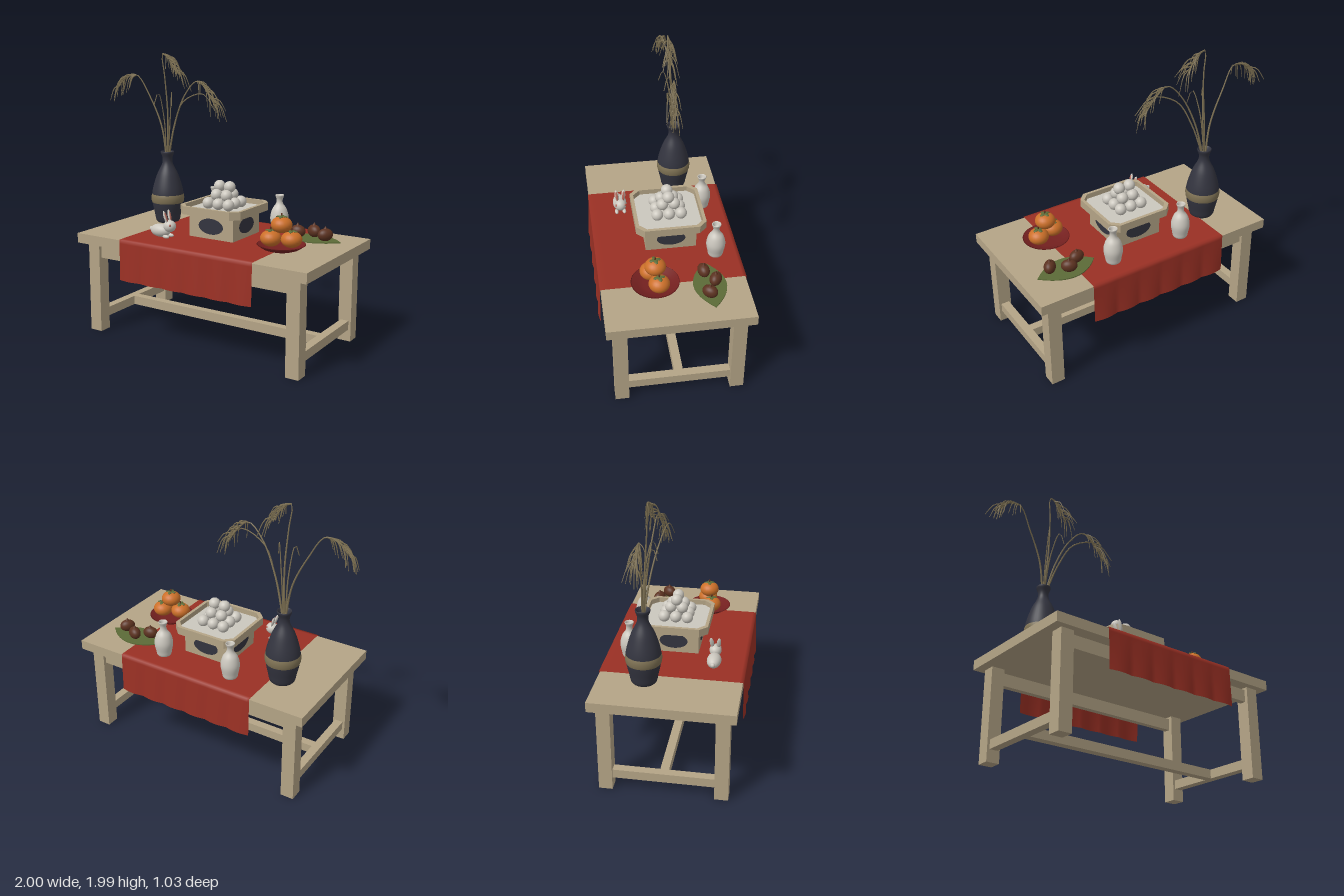
import * as THREE from 'three';

const mat = (name, color, side = THREE.FrontSide) => Object.assign(new THREE.MeshStandardMaterial({ color, side }), { name });
const V = (x, y, z) => new THREE.Vector3(x, y, z);

export function createModel() {
  const wood = mat('wood', 0xb4a486), red = mat('red cloth', 0x9a3024, THREE.DoubleSide);
  const navy = mat('dark glaze', 0x33343f), white = mat('white', 0xcbc7be);
  const orange = mat('persimmon orange', 0xcc7029), lacquer = mat('dark red lacquer', 0x74201f, THREE.DoubleSide);
  const green = mat('leaf green', 0x5c6b37), brown = mat('chestnut brown', 0x5c3220);
  const straw = mat('straw', 0x7f7254), pink = mat('pink', 0xb4685a);

  const model = new THREE.Group();
  const group = (name, x = 0, y = 0, z = 0, parent = model) => {
    const g = new THREE.Group();
    g.name = name;
    g.position.set(x, y, z);
    parent.add(g);
    return g;
  };
  const add = (parent, name, geo, material, x = 0, y = 0, z = 0) => {
    const m = new THREE.Mesh(geo, material);
    m.name = name;
    m.position.set(x, y, z);
    parent.add(m);
    return m;
  };
  const box = (parent, name, x0, x1, y0, y1, z0, z1, material = wood) => add(parent, name,
    new THREE.BoxGeometry(x1 - x0, y1 - y0, z1 - z0), material, (x0 + x1) / 2, (y0 + y1) / 2, (z0 + z1) / 2);
  const ball = (parent, name, material, x, y, z, rx, ry = rx, rz = rx) => {
    const m = add(parent, name, new THREE.SphereGeometry(1, 24, 16), material, x, y, z);
    m.scale.set(rx, ry, rz);
    return m;
  };
  // Smooth lathe through a few [radius, height] points
  const turned = (points, steps = 28) => {
    const curve = new THREE.SplineCurve(points.map(p => new THREE.Vector2(...p)));
    const pts = curve.getPoints(steps).map(p => new THREE.Vector2(Math.max(p.x, 0), p.y));
    return new THREE.LatheGeometry(pts, 36);
  };

  // Table
  const table = group('table');
  box(table, 'tableTop', -0.85, 0.98, 0.655, 0.725, -0.49, 0.49);
  for (const s of [-1, 1]) {
    const z0 = s < 0 ? -0.445 : 0.35;
    box(table, 'leg', -0.785, -0.69, 0, 0.655, z0, z0 + 0.095);
    box(table, 'leg', 0.82, 0.915, 0, 0.655, z0, z0 + 0.095);
    box(table, 'apron', -0.69, 0.82, 0.55, 0.64, s * 0.4 - 0.022, s * 0.4 + 0.022);
    const x = s < 0 ? -0.737 : 0.867;
    box(table, 'sideStretcher', x - 0.03, x + 0.03, 0.085, 0.15, -0.35, 0.35);
  }
  box(table, 'longStretcher', -0.708, 0.838, 0.085, 0.15, -0.03, 0.03);

  // Runner: a sheet folded over both long edges, rippling towards its hems
  const half = 0.785, flat = 0.495;
  const runner = new THREE.PlaneGeometry(1.06, half * 2, 60, 60).rotateX(-Math.PI / 2);
  const rp = runner.attributes.position;
  for (let i = 0; i < rp.count; i++) {
    const x = rp.getX(i), s = rp.getZ(i), drop = Math.max(0, Math.abs(s) - flat);
    if (drop > 0) {
      const t = drop / (half - flat);
      const ripple = Math.abs(Math.sin((x + 0.53) / 1.06 * Math.PI * 6));
      rp.setXYZ(i, x, 0.733 - drop, Math.sign(s) * (flat + t * (0.006 + 0.012 * ripple)));
    } else rp.setY(i, 0.733);
  }
  runner.computeVertexNormals();
  add(model, 'runner', runner, red, 0.07, 0, 0);

  // Vase with band
  const vase = group('vase', -0.524, 0.725, -0.167);
  add(vase, 'vaseBody', turned([[0, 0.002], [0.078, 0], [0.1, 0.07], [0.119, 0.17], [0.113, 0.25], [0.08, 0.36],
    [0.042, 0.44], [0.037, 0.485], [0.05, 0.525], [0.046, 0.535], [0.03, 0.5], [0.026, 0.44], [0, 0.43]], 60), navy);
  add(vase, 'vaseBand', turned([[0.119, 0.152], [0.123, 0.17], [0.123, 0.2], [0.113, 0.232]], 8), straw);

  // Tapering curved stalk
  const stalk = (parent, name, points, r0, r1, segs = 6, sides = 4) => {
    const curve = new THREE.CatmullRomCurve3(points);
    const geo = new THREE.TubeGeometry(curve, segs, 1, sides);
    const p = geo.attributes.position, v = V(0, 0, 0);
    for (let i = 0; i < p.count; i++) {
      const t = Math.floor(i / (sides + 1)) / segs, c = curve.getPointAt(t);
      v.fromBufferAttribute(p, i).sub(c).multiplyScalar(r0 + (r1 - r0) * t).add(c);
      p.setXYZ(i, v.x, v.y, v.z);
    }
    add(parent, name, geo, straw);
    return curve;
  };
  let seed = 7;
  const rnd = () => (seed = (seed * 16807) % 2147483647) / 2147483647;

  // Grass plumes: an arching stem, then drooping strands along its tip
  const grass = group('grass');
  const plume = (pts, dir) => {
    const c = stalk(grass, 'stem', pts.map(p => V(...p)), 0.008, 0.003, 24, 5);
    for (let i = 0; i < 22; i++) {
      const a = c.getPoint(0.6 + 0.36 * i / 21);
      const out = dir * (0.03 + 0.1 * rnd()), side = (rnd() - 0.5) * 0.13, fall = 0.07 + 0.09 * rnd();
      stalk(grass, 'strand', [a, V(a.x + out * 0.55, a.y + 0.005 - fall * 0.2, a.z + side * 0.5),
        V(a.x + out, a.y - fall, a.z + side)], 0.0055, 0.002);
    }
  };
  plume([[-0.53, 1.2, -0.167], [-0.57, 1.45, -0.16], [-0.67, 1.67, -0.15], [-0.77, 1.82, -0.13],
    [-0.87, 1.8, -0.125], [-0.94, 1.72, -0.12]], -1);
  plume([[-0.524, 1.2, -0.167], [-0.505, 1.55, -0.15], [-0.515, 1.82, -0.13], [-0.525, 1.98, -0.12],
    [-0.46, 1.94, -0.115], [-0.39, 1.83, -0.11]], 1);
  plume([[-0.515, 1.2, -0.167], [-0.44, 1.48, -0.15], [-0.33, 1.7, -0.13], [-0.22, 1.795, -0.12],
    [-0.12, 1.71, -0.11], [-0.05, 1.61, -0.1]], 1);
  // Bent leaf blades
  for (const pts of [
    [[-0.51, 1.22, -0.16], [-0.43, 1.46, -0.13], [-0.33, 1.64, -0.09], [-0.13, 1.71, -0.06], [-0.02, 1.6, -0.04]],
    [[-0.53, 1.22, -0.16], [-0.53, 1.5, -0.14], [-0.545, 1.7, -0.09], [-0.56, 1.62, -0.06]],
    [[-0.52, 1.22, -0.17], [-0.48, 1.55, -0.15], [-0.44, 1.71, -0.11], [-0.42, 1.61, -0.08]],
  ]) stalk(grass, 'blade', pts.map(p => V(...p)), 0.007, 0.003, 16);

  // Offering stand: square box below an octagonal tray
  const stand = group('offeringStand', 0.065, 0, -0.035);
  box(stand, 'standBase', -0.178, 0.178, 0.733, 0.9, -0.178, 0.178);
  for (let i = 0; i < 4; i++) {
    const side = group('standSide', 0, 0.822, 0, stand);
    side.rotation.y = i * Math.PI / 2;
    add(side, 'ovalOpening', new THREE.CircleGeometry(1, 36), navy, 0, 0, 0.181).scale.set(0.1, 0.056, 1);
  }
  const octagon = (r, c) => [[r, c - r], [r, r - c], [r - c, r], [c - r, r], [-r, r - c], [-r, c - r], [c - r, -r], [r - c, -r]]
    .map(p => new THREE.Vector2(...p));
  const slab = (shape, depth) => new THREE.ExtrudeGeometry(shape, { depth, bevelEnabled: false }).rotateX(-Math.PI / 2);
  const rim = new THREE.Shape(octagon(0.245, 0.055));
  rim.holes.push(new THREE.Path(octagon(0.222, 0.05)));
  add(stand, 'trayRim', slab(rim, 0.057), wood, 0, 0.9, 0);
  add(stand, 'trayFloor', slab(new THREE.Shape(octagon(0.224, 0.05)), 0.018), wood, 0, 0.9, 0);
  add(stand, 'paper', slab(new THREE.Shape(octagon(0.217, 0.048)), 0.006), white, 0, 0.918, 0);

  // Dumplings in three layers
  const layer = (nx, nz, y) => {
    for (let i = 0; i < nx; i++) for (let j = 0; j < nz; j++)
      ball(stand, 'dumpling', white, (i - (nx - 1) / 2) * 0.083, y, (j - (nz - 1) / 2) * 0.083, 0.041);
  };
  layer(3, 3, 0.964);
  layer(2, 2, 1.02);
  layer(2, 1, 1.077);

  // Bottles
  for (const x of [-0.21, 0.345])
    add(model, 'bottle', turned([[0, 0.002], [0.045, 0], [0.057, 0.04], [0.066, 0.1], [0.052, 0.16], [0.026, 0.2],
      [0.022, 0.23], [0.032, 0.26], [0.026, 0.262], [0.014, 0.235], [0, 0.225]], 50), white, x, 0.733, -0.33);

  // Rabbit
  const rabbit = group('rabbit', -0.26, 0.733, 0.273);
  ball(rabbit, 'body', white, -0.01, 0.046, 0, 0.078, 0.046, 0.05);
  ball(rabbit, 'head', white, 0.068, 0.085, 0, 0.046, 0.042, 0.042);
  ball(rabbit, 'tail', white, -0.085, 0.05, 0, 0.017);
  for (const s of [-1, 1]) {
    const ear = group('ear', 0.05, 0.15, s * 0.024, rabbit);
    ear.rotation.set(s * 0.12, 0, 0.3);
    ball(ear, 'earOuter', white, 0, 0, 0, 0.01, 0.046, 0.015);
    ball(ear, 'earInner', pink, 0.005, 0, 0, 0.007, 0.036, 0.01);
    ball(rabbit, 'eye', pink, 0.093, 0.098, s * 0.031, 0.008);
    ball(rabbit, 'paw', white, 0.055, 0.013, s * 0.028, 0.026, 0.013, 0.014);
  }

  // Dish of persimmons
  const dish = group('persimmonDish', 0.608, 0.733, 0.127);
  add(dish, 'dish', new THREE.LatheGeometry([[0, 0], [0.085, 0], [0.125, 0.014], [0.163, 0.04], [0.157, 0.043],
    [0.12, 0.024], [0.08, 0.014], [0, 0.014]].map(p => new THREE.Vector2(...p)), 40), lacquer);
  for (const [x, y, z] of [[-0.066, 0.077, 0.025], [0.066, 0.077, -0.018], [0, 0.172, 0]]) {
    const fruit = group('persimmon', x, y, z, dish);
    ball(fruit, 'fruit', orange, 0, 0, 0, 0.071, 0.055, 0.071);
    for (let i = 0; i < 4; i++) {
      const turn = group('calyx', 0, 0.053, 0, fruit);
      turn.rotation.y = i * Math.PI / 2 + 0.2;
      ball(turn, 'calyxLeaf', green, 0.019, 0.002, 0, 0.021, 0.005, 0.013).rotation.z = -0.15;
    }
    add(fruit, 'stalk', new THREE.CylinderGeometry(0.005, 0.006, 0.026, 8), brown, 0, 0.064, 0);
  }

  // Leaf with chestnuts
  const leafGroup = group('chestnutLeaf', 0.655, 0.735, -0.235);
  const leaf = new THREE.Shape();
  leaf.moveTo(-0.215, 0);
  leaf.quadraticCurveTo(-0.01, -0.225, 0.215, 0);
  leaf.quadraticCurveTo(-0.01, 0.225, -0.215, 0);
  add(leafGroup, 'leaf', slab(leaf, 0.007), green);
  for (const [x, z, turn] of [[-0.097, 0.028, 0.2], [-0.003, -0.037, -0.5], [0.11, 0.022, 0.9]]) {
    const nut = group('chestnut', x, 0.05, z, leafGroup);
    nut.rotation.y = turn;
    ball(nut, 'shell', brown, 0, 0, 0, 0.055, 0.044, 0.04);
    add(nut, 'tip', new THREE.ConeGeometry(0.015, 0.025, 12), brown, 0, 0.05, 0);
  }
  return model;
}
